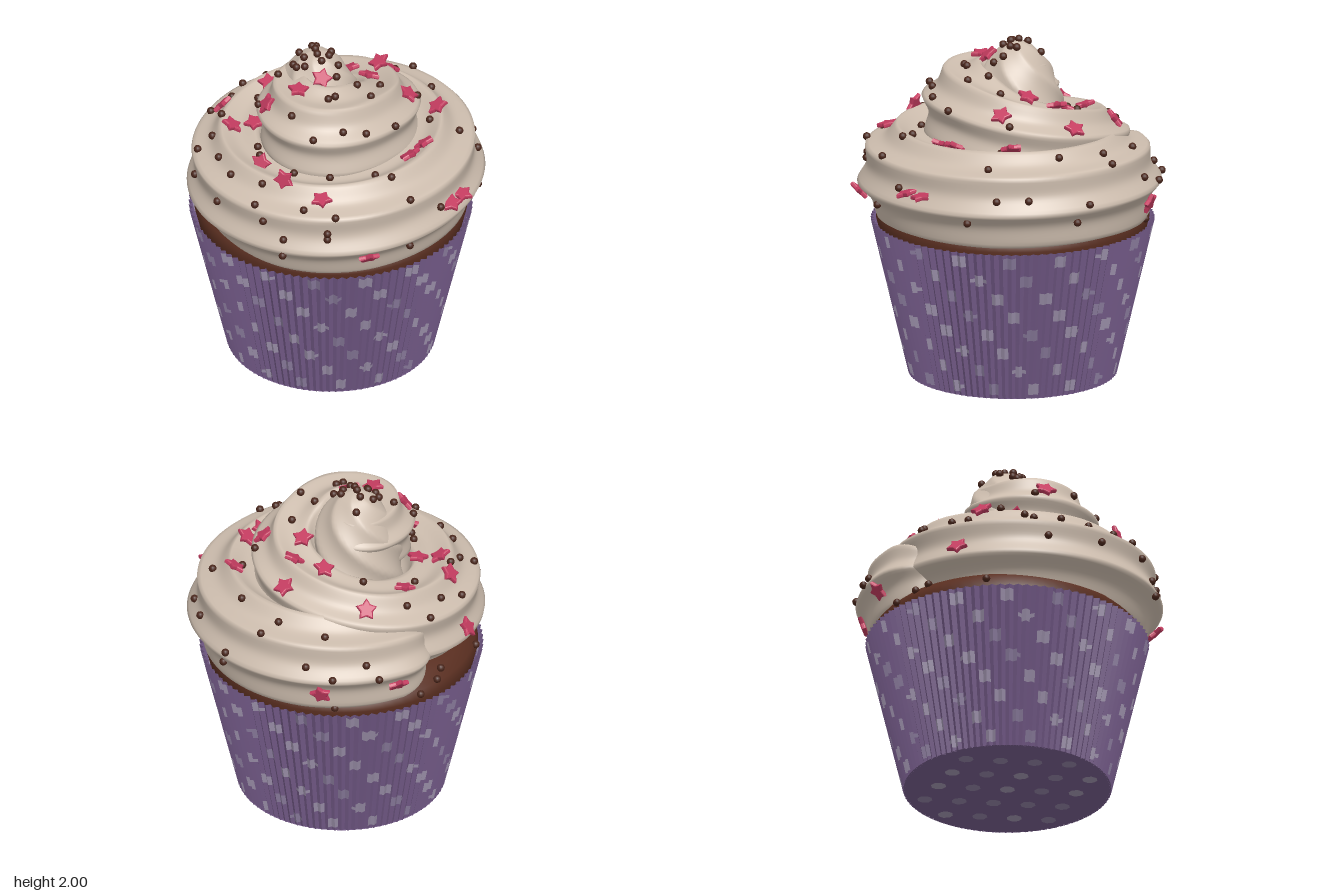
import * as THREE from 'three';

const mat = (name, color, side = THREE.FrontSide, flatShading = false) => {
  const m = new THREE.MeshStandardMaterial({ color, side, flatShading });
  m.name = name;
  return m;
};

const add = (parent, name, geometry, material) => {
  const mesh = new THREE.Mesh(geometry, material);
  mesh.name = name;
  parent.add(mesh);
  return mesh;
};

const CX = -0.035; // axis of the paper case and cake
const points = (list) => list.map(([x, y]) => new THREE.Vector2(x, y));

// Pleated paper case: a tapered grid of zigzag columns, spots picked out by face group
function caseGeometry() {
  const cols = 200, rows = 40, bottom = 0.005, top = 0.93;
  const pos = [], faces = [[], [], []]; // plain, pale spots, dim spots
  for (let r = 0; r <= rows; r++) {
    const t = r / rows;
    for (let c = 0; c < cols; c++) {
      const a = (c / cols) * Math.PI * 2;
      const rad = 0.596 + 0.214 * t + (c % 2 ? 1 : -1) * (0.007 + 0.004 * t);
      pos.push(CX + rad * Math.cos(a), bottom + (top - bottom) * t, rad * Math.sin(a));
    }
  }
  for (let r = 0; r < rows; r++) {
    const v = (r + 0.5) / 5, band = Math.floor(v);
    for (let c = 0; c < cols; c++) {
      const u = ((c + 0.5) / cols) * 17 + (band % 2) * 0.5 + band * 0.13;
      const cell = Math.floor(u);
      const du = (u - cell - 0.5) / 0.14, dv = (v - band - 0.5) / 0.38;
      const spotted = du * du + dv * dv < 1;
      const n = (c + 1) % cols;
      const p = r * cols + c, q = r * cols + n;
      faces[spotted ? ((cell * 2 + band) % 3 ? 1 : 2) : 0]
        .push(p, p + cols, q, q, p + cols, q + cols);
    }
  }
  const g = new THREE.BufferGeometry();
  g.setAttribute('position', new THREE.Float32BufferAttribute(pos, 3));
  g.setIndex(faces.flat());
  let start = 0;
  faces.forEach((f, i) => {
    g.addGroup(start, f.length, i);
    start += f.length;
  });
  g.computeVertexNormals();
  return g;
}

// Frosting: a ridged rope swept up a shrinking spiral, one key per quarter turn
function frostingGeometry() {
  // x: distance from axis, y: height, z: rope radius
  const keys = [
    [0.57, 1.17, 0.26], [0.61, 1.215, 0.29], [0.58, 1.21, 0.29], [0.61, 1.205, 0.29],
    [0.525, 1.245, 0.28], [0.35, 1.42, 0.265], [0.22, 1.55, 0.27], [0.26, 1.6, 0.275],
    [0.09, 1.66, 0.21], [0.04, 1.71, 0.18], [0.01, 1.76, 0.13],
  ].map((k) => new THREE.Vector3(...k));
  const path = new THREE.CatmullRomCurve3(keys, false, 'catmullrom', 0.5);
  const steps = 320, sides = 96, lobes = 8;
  const first = 0.1, last = keys.length - 1;
  const pos = [], idx = [];
  for (let i = 0; i <= steps; i++) {
    const k = first + (last - first) * (i / steps);
    const a = Math.PI + (k * Math.PI) / 2;
    const c = path.getPoint(k / last);
    const cap = Math.min(1, (k - first) / 0.25, (last - k) / 0.8);
    const R = c.z * Math.sqrt(1 - (1 - cap) ** 2);
    const late = THREE.MathUtils.smoothstep(k, 6.5, 9);
    const ox = -0.02 - 0.09 * late, oz = 0.03 * late;
    for (let j = 0; j < sides; j++) {
      const s = (j / sides) * Math.PI * 2;
      const cs = Math.cos(s), sn = Math.sin(s);
      const p = sn < 0 ? 2.6 - 0.6 * late : 2; // lower half is fuller
      const square = (Math.abs(cs) ** p + Math.abs(sn) ** p) ** (-1 / p);
      const ridge = 1 - 0.18 * Math.abs(Math.sin((lobes * (s + 0.08 * k)) / 2));
      const rad = Math.max(0.003, c.x + R * square * ridge * cs);
      pos.push(ox + rad * Math.cos(a), c.y + R * square * ridge * sn, oz + rad * Math.sin(a));
      if (i < steps) {
        const n = (j + 1) % sides, A = i * sides, B = A + sides;
        idx.push(A + j, A + n, B + j, A + n, B + n, B + j);
      }
    }
  }
  const g = new THREE.BufferGeometry();
  g.setAttribute('position', new THREE.Float32BufferAttribute(pos, 3));
  g.setIndex(idx);
  g.computeVertexNormals();
  return g;
}

// Rounded peak closing the swirl, with soft twisted ridges
function peakGeometry() {
  const curve = new THREE.SplineCurve(points([[0.29, 1.35], [0.285, 1.52], [0.255, 1.68],
    [0.2, 1.81], [0.12, 1.91], [0.06, 1.95], [0, 1.965]]));
  const g = new THREE.LatheGeometry(curve.getPoints(30), 72);
  const pos = g.attributes.position;
  for (let i = 0; i < pos.count; i++) {
    const x = pos.getX(i), y = pos.getY(i), z = pos.getZ(i);
    const s = 1 - 0.09 * Math.abs(Math.sin(3 * (Math.atan2(z, x) - 5 * y)));
    pos.setXYZ(i, x * s, y, z * s);
  }
  g.computeVertexNormals();
  return g;
}

function starGeometry() {
  const s = new THREE.Shape();
  for (let i = 0; i < 10; i++) {
    const r = i % 2 ? 0.03 : 0.054, a = (i * Math.PI) / 5;
    s[i ? 'lineTo' : 'moveTo'](r * Math.cos(a), r * Math.sin(a));
  }
  s.closePath();
  return new THREE.ExtrudeGeometry(s, {
    depth: 0.012, bevelThickness: 0.008, bevelSize: 0.008, bevelSegments: 2,
  });
}

export function createModel() {
  const cupcake = new THREE.Group();
  cupcake.name = 'cupcake';
  const paper = mat('purple paper', 0x765c8b, THREE.DoubleSide, true);
  const pale = mat('pale lavender spot', 0x9f93ae, THREE.DoubleSide, true);
  const dim = mat('dim lavender spot', 0x8d7ea0, THREE.DoubleSide, true);
  const sponge = mat('chocolate sponge', 0x592e20);
  const cream = mat('cream frosting', 0xcdbdae);
  const choc = mat('dark chocolate', 0x4a261b);
  const pink = mat('pink sugar', 0xc43c60);

  // Paper case with a spotted base
  add(cupcake, 'paperCase', caseGeometry(), [paper, pale, dim]);
  const base = add(cupcake, 'caseBase', new THREE.CircleGeometry(0.6, 100), paper);
  base.rotation.x = Math.PI / 2;
  base.position.set(CX, 0.006, 0);
  const baseSpots = new THREE.Group();
  baseSpots.name = 'baseSpots';
  cupcake.add(baseSpots);
  for (let i = -3; i <= 3; i++) {
    for (let j = -3; j <= 3; j++) {
      const x = (i + (j & 1) * 0.5) * 0.24, z = j * 0.16;
      if (Math.hypot(x, z) > 0.54) continue;
      const dot = add(baseSpots, 'baseSpot', new THREE.CircleGeometry(0.045, 8), (i + j) % 3 ? dim : pale);
      dot.rotation.x = Math.PI / 2;
      dot.position.set(CX + x, 0, z);
    }
  }

  // Domed cake
  const profile = points([[0.58, 0.03], [0.775, 0.88], [0.79, 0.94], [0.775, 0.99], [0.72, 1.04],
    [0.58, 1.1], [0.3, 1.15], [0, 1.16]]);
  const cake = add(cupcake, 'cake', new THREE.LatheGeometry(profile, 80), sponge);
  cake.position.x = CX;

  // Frosting swirl and its peak
  const frosting = add(cupcake, 'frosting', frostingGeometry(), cream);
  const peak = add(cupcake, 'frostingPeak', peakGeometry(), cream);
  peak.position.set(-0.11, 0, 0.03);
  cupcake.updateMatrixWorld(true);

  // Toppings are dropped on to the surface along a ray
  const ray = new THREE.Raycaster();
  const cast = (from, dir) => {
    ray.set(from, dir);
    return ray.intersectObjects([frosting, peak, cake], false)[0];
  };
  const fromTop = (x, z) => cast(new THREE.Vector3(x, 3, z), new THREE.Vector3(0, -1, 0));
  const fromSide = (deg, y) => {
    const a = THREE.MathUtils.degToRad(deg);
    const d = new THREE.Vector3(Math.cos(a), 0, Math.sin(a));
    return cast(d.clone().multiplyScalar(3).setY(y), d.negate());
  };

  // Chocolate balls
  const balls = new THREE.Group();
  balls.name = 'chocolateBalls';
  cupcake.add(balls);
  const ballGeo = new THREE.SphereGeometry(0.023, 12, 8);
  const putBall = (hit) => {
    if (!hit) return;
    add(balls, 'chocolateBall', ballGeo, choc).position.copy(hit.point)
      .addScaledVector(hit.face.normal, 0.01);
  };
  const ballsTop = [
    [0.02, -0.82], [-0.27, -0.8], [-0.43, -0.77], [0.24, -0.84], [0.53, -0.63], [0.65, -0.49],
    [0.6, -0.38], [-0.03, -0.7], [-0.32, -0.67], [-0.56, -0.61], [-0.64, -0.6], [0.26, -0.62],
    [0.44, -0.33], [0.35, -0.32], [-0.32, -0.24], [0.22, -0.13], [-0.6, -0.22], [-0.73, -0.17],
    [-0.52, 0.01], [-0.69, 0.01], [-0.75, 0.15], [-0.6, 0.28], [-0.57, 0.42], [-0.62, 0.51],
    [-0.43, 0.58], [-0.29, 0.68], [-0.06, 0.71], [-0.35, 0.83], [-0.24, 0.86], [-0.04, 0.83],
    [0.16, 0.84], [0.24, 0.75], [0.43, 0.71], [0.71, 0.34], [0.56, 0.31], [0.47, 0.33],
    [0.36, 0.26], [0.26, 0.35], [0.24, 0.46], [0.14, 0.48], [0.04, 0.53], [-0.03, 0.43],
    [-0.22, 0.48], [-0.27, 0.42], [-0.31, 0.34], [-0.27, 0.2], [0.1, 0.25], [0.12, 0.21],
    [0.15, 0.02], [0.28, 0.07], [0.44, 0.07], [-0.18, -0.08], [-0.05, -0.02], [-0.21, 0.05],
    [-0.16, 0], [-0.12, 0.03], [-0.15, 0.1], [-0.09, 0.06], [-0.04, 0.02], [-0.05, 0.08],
    [0.02, 0.02], [0.04, 0.07], [-0.17, 0.15], [-0.12, 0.14], [-0.2, 0.13],
  ];
  ballsTop.forEach(([x, z]) => putBall(fromTop(x, z)));
  [[79, 1.12], [62, 1.23], [62, 1.27], [88, 1.3], [27, 1.1], [-25, 1.13], [10, 1.25], [112, 1.28],
    [135, 1.26], [160, 0.98], [193, 1.0], [188, 1.03], [203, 0.97], [240, 0.97], [290, 1.12]]
    .forEach(([a, y]) => putBall(fromSide(a, y)));

  // Sugar stars: lying on the surface, or turned to face a given way
  const stars = new THREE.Group();
  stars.name = 'sugarStars';
  cupcake.add(stars);
  const starGeo = starGeometry();
  const zAxis = new THREE.Vector3(0, 0, 1);
  const UP = new THREE.Vector3(0.1, 1, 0.1).normalize();
  const FRONT = new THREE.Vector3(0, 0.4, 1).normalize();
  const putStar = (hit, i, facing) => {
    if (!hit) return;
    const star = add(stars, 'sugarStar', starGeo, pink);
    star.position.copy(hit.point).addScaledVector(hit.face.normal, 0.015);
    star.quaternion.setFromUnitVectors(zAxis, facing ?? hit.face.normal);
    star.rotateZ(i * 1.9);
    star.rotateX(0.2 * Math.sin(i * 2.3));
  };
  const starsTop = [
    [-0.44, -0.41], [0.03, -0.53], [0.05, -0.41], [-0.11, -0.33], [0.09, -0.22], [0.44, -0.42],
    [0.33, -0.24], [0.56, -0.08], [0.54, 0.05], [-0.53, -0.12], [-0.64, 0.18], [-0.51, 0.33],
    [-0.01, 0.15], [-0.08, 0.28], [-0.4, 0.24], [-0.23, 0.36], [-0.17, 0.55, FRONT],
    [0.06, 0.67, FRONT], [0.3, 0.65, UP],
  ];
  starsTop.forEach(([x, z, facing], i) => putStar(fromTop(x, z), i, facing));
  [[46, 1.12], [172, 1.2], [214.6, 1.12], [245.4, 1.1], [-4, 1.23, UP], [4, 1.23, UP]]
    .forEach(([a, y, facing], i) => putStar(fromSide(a, y), i, facing));

  return cupcake;
}
